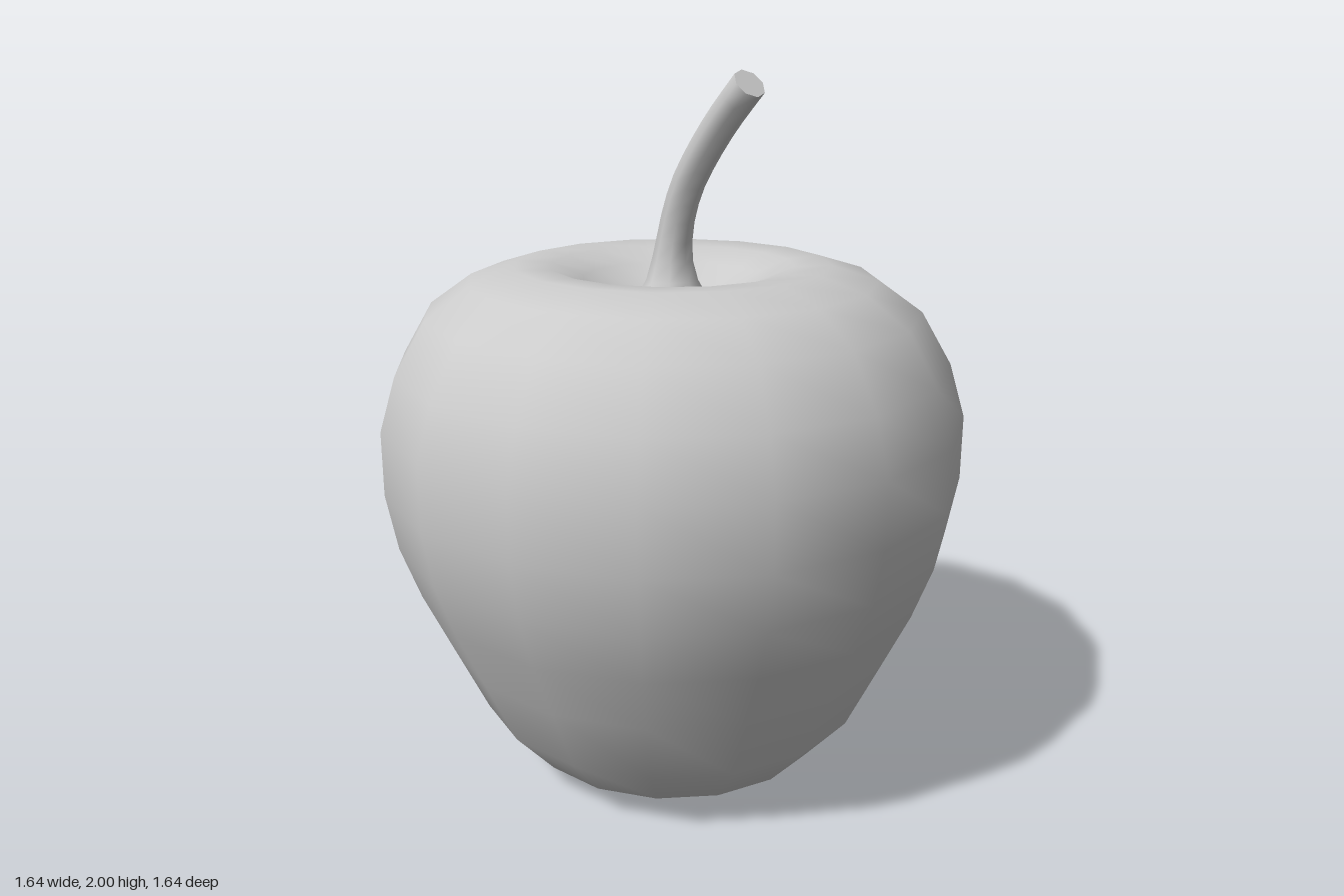
import * as THREE from 'three';
import { mergeVertices, toCreasedNormals } from 'three/addons/utils/BufferGeometryUtils.js';

const material = new THREE.MeshStandardMaterial({ color: 0xcccccc });

// Fruit body: a 16-sided turned profile with a dimple at each end
function createBody() {
  const profile = [
    [0, 0.1], [0.1, 0.09], [0.2, 0.035], [0.3, 0], [0.44, 0.065], [0.56, 0.2],
    [0.655, 0.4], [0.735, 0.57], [0.79, 0.72], [0.82, 0.88], [0.82, 1.06],
    [0.775, 1.21], [0.69, 1.355], [0.57, 1.44], [0.44, 1.48], [0.34, 1.475],
    [0.25, 1.44], [0.16, 1.385], [0.09, 1.37], [0, 1.37],
  ].map(([r, y]) => new THREE.Vector2(r, y));
  const body = new THREE.Mesh(new THREE.LatheGeometry(profile, 16), material);
  body.name = 'body';
  return body;
}

// Stem: an 8-sided cylinder bent along a curve, flared at its foot
function createStem() {
  const path = new THREE.CatmullRomCurve3([
    [0, 1.375], [0, 1.48], [0.022, 1.6], [0.065, 1.7],
    [0.13, 1.79], [0.21, 1.88], [0.304, 1.969],
  ].map(([x, y]) => new THREE.Vector3(x, y, 0)));
  const geometry = new THREE.CylinderGeometry(1, 1, 1, 8, 12);
  const position = geometry.attributes.position;
  for (let i = 0; i < position.count; i++) {
    const t = position.getY(i) + 0.5;
    const radius = 0.045 + 0.06 * Math.pow(1 - t, 9);
    const centre = path.getPointAt(t);
    const tangent = path.getTangentAt(t);
    const across = position.getX(i) * radius;
    position.setXYZ(i, centre.x + tangent.y * across, centre.y - tangent.x * across,
      position.getZ(i) * radius);
  }
  geometry.deleteAttribute('normal');
  geometry.deleteAttribute('uv');
  const stem = new THREE.Mesh(toCreasedNormals(mergeVertices(geometry), 1), material);
  stem.name = 'stem';
  return stem;
}

export function createModel() {
  const group = new THREE.Group();
  group.name = 'apple';
  group.add(createBody(), createStem());
  return group;
}
